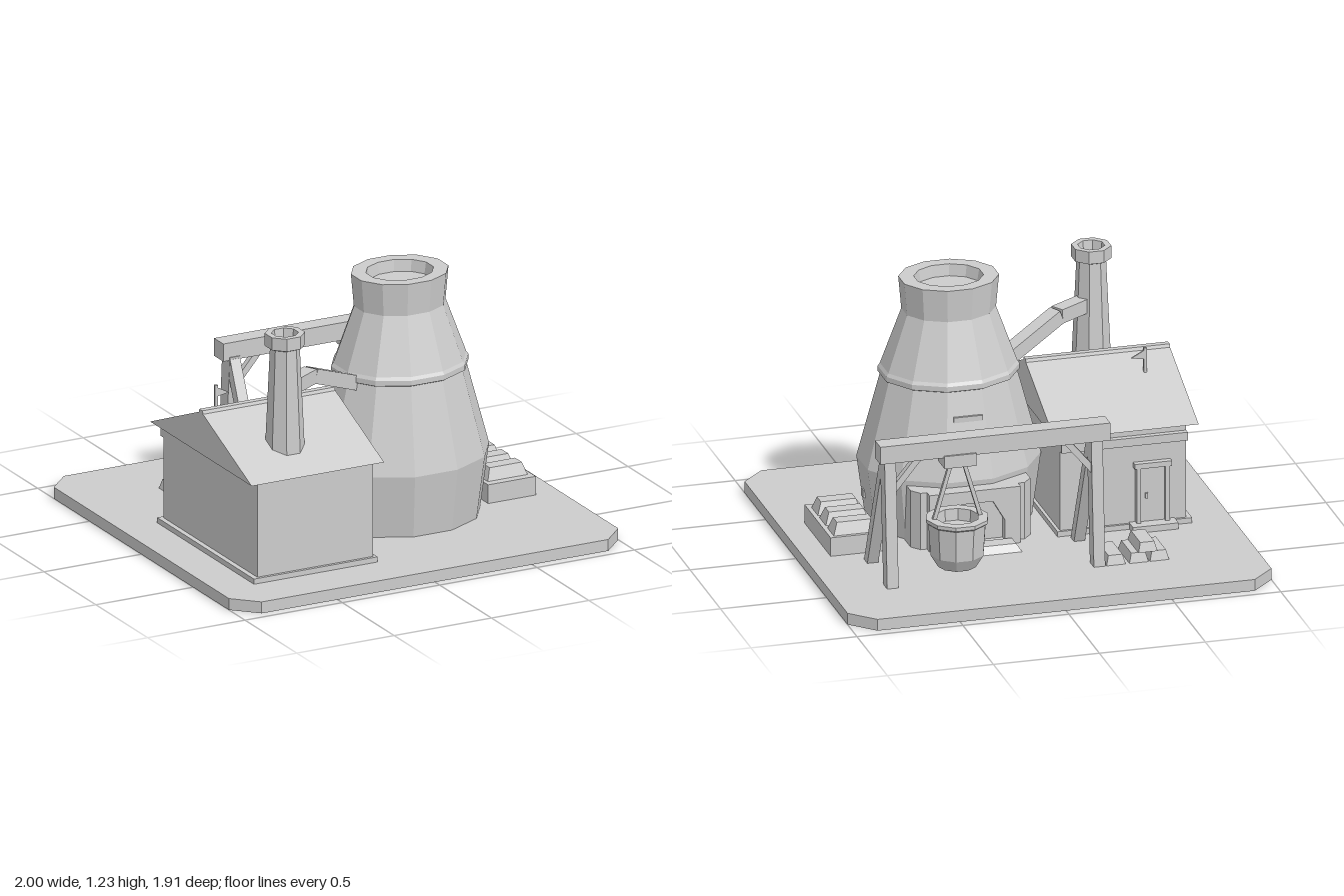
import * as THREE from 'three';

export function createModel() {
  const model = new THREE.Group();
  const grey = new THREE.MeshStandardMaterial({ color: 0xcccccc, flatShading: true, side: THREE.DoubleSide });
  grey.name = 'plain grey';
  const G = 0.055; // ground level on the slab
  const SUNK = 0.025; // depth the footings reach down to

  const add = (name, geo, x = 0, y = 0, z = 0) => {
    const m = new THREE.Mesh(geo, grey);
    m.name = name;
    m.position.set(x, y, z);
    model.add(m);
    return m;
  };
  // box given by its limits
  const box = (name, x0, x1, y0, y1, z0, z1) =>
    add(name, new THREE.BoxGeometry(x1 - x0, y1 - y0, z1 - z0), (x0 + x1) / 2, (y0 + y1) / 2, (z0 + z1) / 2);
  // square bar between two points
  const bar = (name, a, b, w, h = w) => {
    const p = new THREE.Vector3(...a), q = new THREE.Vector3(...b);
    const m = add(name, new THREE.BoxGeometry(w, h, p.distanceTo(q)));
    m.position.copy(p).add(q).multiplyScalar(0.5);
    m.lookAt(q);
    return m;
  };
  const poly = pts => new THREE.Shape(pts.map(p => new THREE.Vector2(...p)));
  const flat = pts => poly(pts.map(([x, z]) => [x, -z]));
  const extrude = (shape, depth) =>
    new THREE.ExtrudeGeometry(shape, { depth, bevelEnabled: false });
  // plan outline given as (x, z), raised from y0 to y1
  const slab = (name, pts, y0, y1) =>
    add(name, extrude(flat(pts), y1 - y0).rotateX(-Math.PI / 2), 0, y0, 0);
  // open ring of walls on a plan outline (x, z)
  const skirt = (name, pts, y0, y1) => {
    const v = [];
    pts.forEach(([ax, az], i) => {
      const [bx, bz] = pts[(i + 1) % pts.length];
      v.push(ax, y0, az, ax, y1, az, bx, y1, bz, ax, y0, az, bx, y1, bz, bx, y0, bz);
    });
    const g = new THREE.BufferGeometry();
    g.setAttribute('position', new THREE.Float32BufferAttribute(v, 3));
    g.computeVertexNormals();
    return add(name, g);
  };
  const rect = (x0, x1, z0, z1) => [[x0, z0], [x1, z0], [x1, z1], [x0, z1]];
  // side outline given as (z, y), running from x0 to x1
  const alongX = (name, pts, x0, x1) =>
    add(name, extrude(poly(pts.map(([z, y]) => [-z, y])), x1 - x0).rotateY(Math.PI / 2), x0, 0, 0);
  // faceted turned part with a flat facing front
  const turned = (name, pts, sides, x, z, sz = 1) => {
    const v = pts.map(p => new THREE.Vector2(...p));
    return add(name, new THREE.LatheGeometry(v, sides, Math.PI / sides).scale(1, 1, sz), x, 0, z);
  };
  // block with tapered sides
  const ingot = (name, x, y, z, w, h, d, inset) => {
    const g = new THREE.BoxGeometry(w, h, d), p = g.attributes.position;
    for (let i = 0; i < p.count; i++) if (p.getY(i) > 0) {
      p.setX(i, p.getX(i) - Math.sign(p.getX(i)) * inset);
      p.setZ(i, p.getZ(i) - Math.sign(p.getZ(i)) * inset);
    }
    return add(name, g, x, y + h / 2, z);
  };

  // Base slab with clipped corners, open underneath
  const c = 0.11, Z = 0.955;
  const plan = [[-1, -Z + c], [-1 + c, -Z], [1 - c, -Z], [1, -Z + c],
    [1, Z - c], [1 - c, Z], [-1 + c, Z], [-1, Z - c]];
  add('baseTop', new THREE.ShapeGeometry(flat(plan)).rotateX(-Math.PI / 2), 0, G, 0);
  skirt('baseSides', plan, 0, G);

  // Furnace tower, slightly oval, with a hollow mouth
  turned('furnaceTower', [[0.376, SUNK], [0.382, G], [0.423, 0.355], [0.314, 0.76], [0.325, 0.765],
    [0.325, 0.79], [0.315, 0.805], [0.217, 1.07], [0.231, 1.225], [0.16, 1.225], [0.15, 1.17], [0, 1.17]],
  12, 0.225, 0.192, 0.865);
  bar('furnacePlaque', [0.15, 0.635, -0.09], [0.285, 0.635, -0.09], 0.035, 0.025);
  box('furnaceTap', 0.57, 0.62, 0.17, 0.21, 0.22, 0.26);

  // Hearth behind the tower
  const hearth = [[-0.065, 0.1], [-0.065, -0.14], [-0.025, -0.185], [0.465, -0.185], [0.5, -0.14], [0.5, 0.1]];
  slab('hearthBody', hearth, G, 0.33);
  skirt('hearthFooting', hearth, SUNK, G);
  const face = poly([[-0.215, 0], [0.215, 0], [0.215, 0.275], [-0.215, 0.275]]);
  face.holes.push(poly([[-0.14, 0.02], [0.14, 0.02], [0.14, 0.12], [0.085, 0.215], [-0.085, 0.215], [-0.14, 0.12]]));
  add('hearthArch', extrude(face, 0.045), 0.22, G, -0.225);
  ingot('hearthTray', 0.217, G, -0.278, 0.375, 0.035, 0.115, 0.022);

  // Workshop: gabled walls, plinth, roof and ridge
  const ridge = 0.265;
  alongX('workshopWalls', [[-0.192, G], [-0.192, 0.54], [0.715, 0.54], [0.715, G]], -0.785, -0.19);
  box('workshopPlinth', -0.81, -0.175, G, 0.08, -0.205, 0.73);
  skirt('workshopFooting', rect(-0.81, -0.175, -0.205, 0.73), SUNK, G);
  alongX('workshopRoof', [[-0.225, 0.54], [ridge, 0.745], [0.755, 0.54]], -0.835, -0.155);
  alongX('roofRidge', [[0.243, 0.73], [0.25, 0.752], [0.28, 0.752], [0.287, 0.73]], -0.835, -0.155);
  box('eaveBeam', -0.785, -0.19, 0.465, 0.505, -0.22, -0.185);

  // Door in the rear wall
  box('doorStep', -0.73, -0.515, G, 0.085, -0.262, -0.18);
  skirt('doorStepFooting', rect(-0.73, -0.515, -0.262, -0.18), SUNK, G);
  for (const x of [-0.7, -0.565]) box('doorPost', x, x + 0.02, G, 0.36, -0.22, -0.18);
  box('doorLintel', -0.71, -0.535, 0.35, 0.375, -0.222, -0.18);
  box('door', -0.68, -0.565, G, 0.35, -0.2, -0.18);
  box('doorHandle', -0.6, -0.588, 0.2, 0.225, -0.212, -0.19);

  // Window and sill in the side wall
  box('windowFrame', -0.19, -0.168, 0.2, 0.4, 0.33, 0.47);
  box('windowSill', -0.19, -0.155, 0.285, 0.305, 0.31, 0.49);

  // Small vane on the roof
  box('vanePost', -0.688, -0.674, 0.64, 0.8, 0.113, 0.127);
  add('vaneFlag', extrude(poly([[0, 0], [0.065, 0.01], [0, 0.045]]), 0.008), -0.68, 0.745, 0.116);

  // Chimney and its elbowed duct to the tower
  turned('chimney', [[0, 0.57], [0.092, 0.57], [0.068, 1.09], [0.092, 1.1], [0.092, 1.16],
    [0.062, 1.16], [0.055, 1.11], [0, 1.11]], 8, -0.545, 0.53);
  const elbow = [-0.35, 0.885, 0.41];
  bar('ductUpper', [-0.545, 0.888, 0.53], elbow, 0.068);
  bar('ductLower', elbow, [-0.03, 0.745, 0.255], 0.068);

  // Gantry frame
  box('gantryBeam', -0.315, 0.77, 0.655, 0.74, -0.585, -0.495);
  for (const [x, s] of [[-0.257, 1], [0.718, -1]]) {
    alongX('gantryPost', [[-0.49, 0.67], [-0.565, 0.67], [-0.61, G], [-0.545, G]], x - 0.027, x + 0.027);
    alongX('gantryLeg', [[-0.54, 0.66], [-0.49, 0.66], [-0.225, G], [-0.28, G]], x - 0.026, x + 0.026);
    bar('gantryBrace', [x, 0.49, -0.545], [x + s * 0.15, 0.67, -0.54], 0.03);
  }

  // Hanging ladle
  const lx = 0.395, lz = -0.54;
  box('ladleHanger', lx - 0.075, lx + 0.075, 0.605, 0.665, lz - 0.055, lz + 0.055);
  for (const s of [-1, 1])
    bar('ladleRod', [lx + s * 0.03, 0.61, lz], [lx + s * 0.115, 0.32, lz], 0.018);
  turned('ladle', [[0, 0.11], [0.09, 0.11], [0.126, 0.17], [0.136, 0.32], [0.146, 0.328], [0.146, 0.345],
    [0.1, 0.345], [0.095, 0.29], [0, 0.29]], 10, lx, lz);

  // Casting bench with three moulded bars
  box('castingBench', 0.635, 0.88, G, 0.145, -0.15, 0.275);
  for (const z of [-0.08, 0.052, 0.183]) ingot('castBar', 0.757, 0.145, z, 0.205, 0.057, 0.105, 0.02);

  // Stacked ingots on the ground
  for (const x of [-0.54, -0.443, -0.335]) {
    ingot('groundIngot', x, G, -0.515, 0.09, 0.045, 0.19, 0.012);
    skirt('ingotFooting', rect(x - 0.045, x + 0.045, -0.61, -0.42), 0.04, G);
  }
  ingot('topIngot', -0.487, G + 0.045, -0.515, 0.09, 0.045, 0.18, 0.012);

  return model;
}
